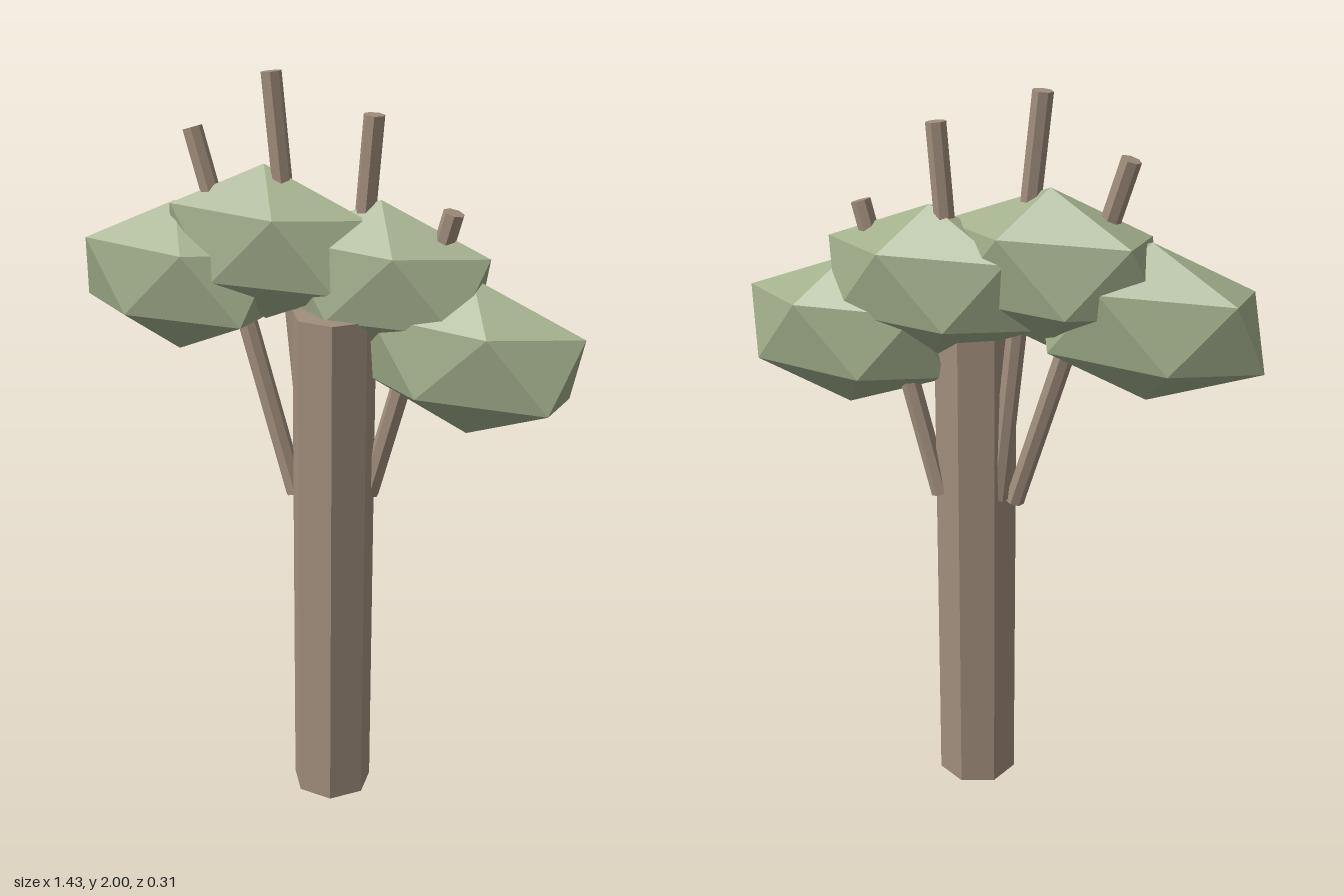
import * as THREE from 'three';

export function createModel() {
  const tree = new THREE.Group();
  tree.name = 'tree';

  const bark = new THREE.MeshStandardMaterial({ color: 0xa08e7c });
  bark.name = 'bark';
  bark.flatShading = true;
  const leaves = new THREE.MeshStandardMaterial({ color: 0xa0ad8a });
  leaves.name = 'leaves';
  leaves.flatShading = true;

  // Seven-sided log between two points, with a flat side to the front
  function addLog(name, from, to, radius) {
    const a = new THREE.Vector3(...from);
    const b = new THREE.Vector3(...to);
    const dir = b.clone().sub(a);
    const geometry = new THREE.CylinderGeometry(radius, radius, dir.length(), 7, 1, false, Math.PI);
    const log = new THREE.Mesh(geometry, bark);
    log.name = name;
    log.position.copy(a).add(b).multiplyScalar(0.5);
    log.quaternion.setFromUnitVectors(new THREE.Vector3(0, 1, 0), dir.normalize());
    tree.add(log);
  }

  addLog('trunk', [0.06, 0, 0.03], [0.06, 1.408, 0.03], 0.111);

  // Branches fanning out from the upper trunk
  [
    [[-0.055, 0.885, 0.03], [-0.355, 1.845, 0.03]],
    [[-0.02, 0.9, 0], [-0.136, 1.997, 0]],
    [[0.05, 0.9, -0.033], [0.136, 1.908, -0.033]],
    [[0.135, 0.9, -0.035], [0.355, 1.69, -0.035]],
  ].forEach(([from, to], i) => addLog('branch' + (i + 1), from, to, 0.027));

  // Icosahedron turned so one corner points up and an upper-ring corner points to +x
  const clump = new THREE.IcosahedronGeometry(1, 0);
  clump.rotateX(-Math.atan((1 + Math.sqrt(5)) / 2));
  clump.rotateY(Math.PI / 2);

  // Flattened leaf clumps forming the crown
  [
    [-0.418, 1.444, 0.03],
    [-0.16, 1.56, 0],
    [0.157, 1.495, -0.035],
    [0.41, 1.33, -0.035],
  ].forEach((centre, i) => {
    const mesh = new THREE.Mesh(clump, leaves);
    mesh.name = 'leafClump' + (i + 1);
    mesh.position.set(...centre);
    mesh.scale.set(0.335, 0.205, 0.142);
    tree.add(mesh);
  });

  return tree;
}
